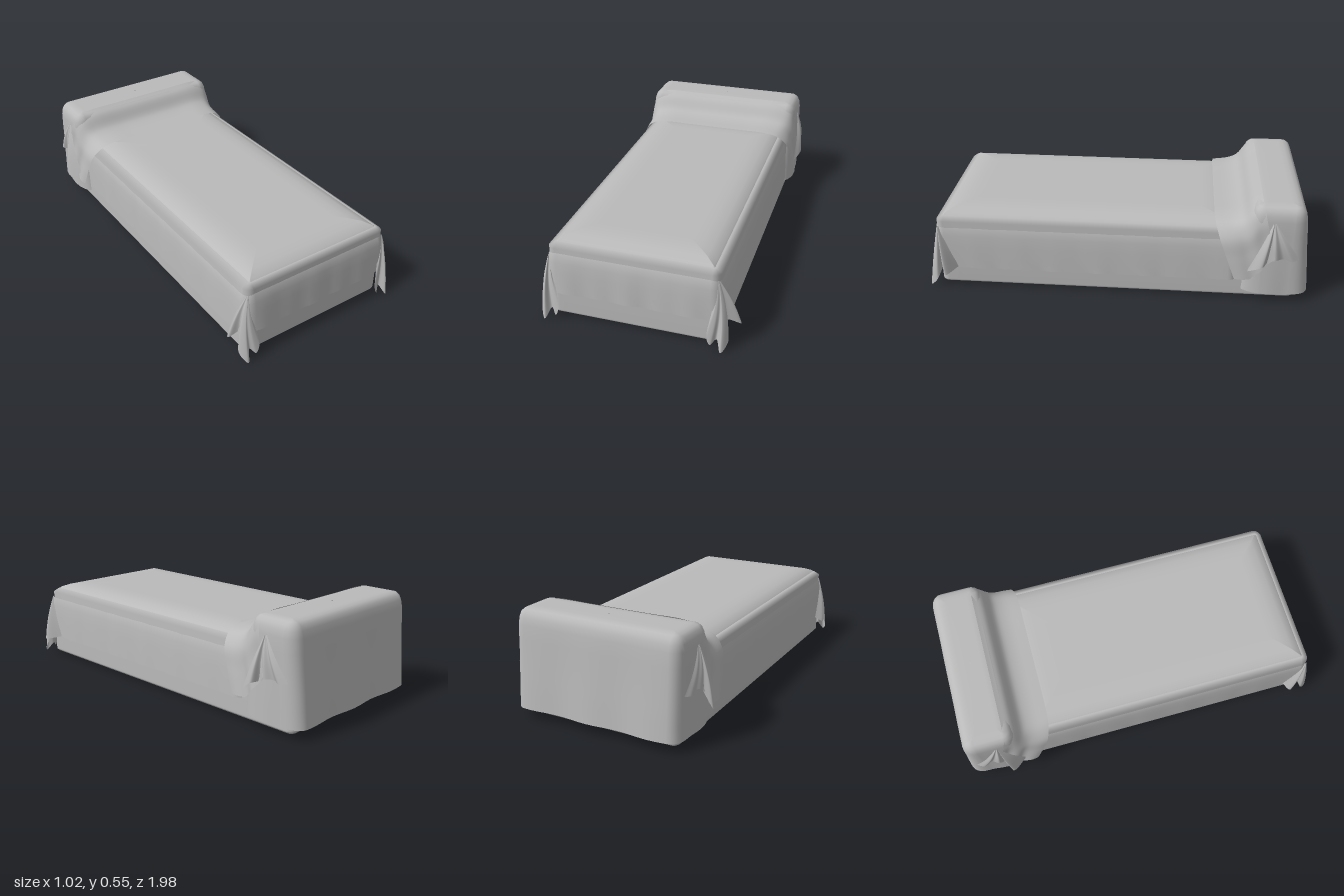
import * as THREE from 'three';

const linen = new THREE.MeshStandardMaterial({ color: 0xbababa, side: THREE.DoubleSide });
linen.name = 'greyLinen';

// Smooth surface from a grid of points; optional wrap joins last column to first
function gridMesh(name, rows, wrap = false) {
  const n = rows[0].length, index = [];
  for (let i = 0; i < rows.length - 1; i++) {
    for (let j = 0; j < (wrap ? n : n - 1); j++) {
      const a = i * n + j, b = i * n + (j + 1) % n;
      index.push(a, b, a + n, b, b + n, a + n);
    }
  }
  const geo = new THREE.BufferGeometry().setFromPoints(rows.flat());
  geo.setIndex(index);
  geo.computeVertexNormals();
  const mesh = new THREE.Mesh(geo, linen);
  mesh.name = name;
  return mesh;
}

// Rounded rectangle in plan, counter-clockwise seen from above, with outward normals
function outline(w, z0, z1, r, inset, steps = 24) {
  const pts = [], rad = Math.max(r - inset, 0.002);
  const hw = Math.max(w - inset, 0.003);
  const mid = (z0 + z1) / 2, hz = Math.max((z1 - z0) / 2 - inset, 0.003);
  const corner = [[1, 1, 0], [1, -1, 1], [-1, -1, 2], [-1, 1, 3]];
  corner.forEach(([sx, sz, k]) => {
    for (let i = 0; i <= 6; i++) {
      const a = Math.PI / 2 * (1 - k) - i / 6 * Math.PI / 2;
      const nx = Math.cos(a), nz = Math.sin(a);
      pts.push({ x: sx * (hw - rad) + nx * rad, z: mid + sz * (hz - rad) + nz * rad, nx, nz });
    }
  });
  const full = [];
  pts.forEach((p, i) => {
    full.push(p);
    if (i % 7 === 6) {
      const q = pts[(i + 1) % pts.length];
      for (let s = 1; s < steps; s++) {
        const t = s / steps;
        full.push({ x: p.x + (q.x - p.x) * t, z: p.z + (q.z - p.z) * t, nx: p.nx, nz: p.nz });
      }
    }
  });
  return full;
}

// Stack of rounded rectangles following a [inset, height] profile from hem to crown
function shell(name, { w, z0, z1, r, profile, warp }) {
  const rows = profile.map(([inset, y]) => outline(w, z0, z1, r, inset).map((p) => {
    const v = new THREE.Vector3(p.x, y, p.z);
    if (warp) warp(v, p);
    return v;
  }));
  return gridMesh(name, rows, true);
}

// Gathered cloth fanning from a point to a wavy hem
function fold(name, apex, hem, side) {
  const flip = ([x, y, z]) => new THREE.Vector3(x * side, y, z);
  const top = flip(apex);
  const bottom = new THREE.CatmullRomCurve3(hem.map(flip), false, 'centripetal').getPoints(56);
  const rows = [];
  for (let i = 0; i <= 10; i++) {
    const t = 0.06 + 0.94 * i / 10;
    rows.push(bottom.map((b) => {
      const p = top.clone().lerp(b, t);
      p.x += side * 0.012 * Math.sin(t * Math.PI);
      return p;
    }));
  }
  return gridMesh(name, rows);
}

// Turned-down sheet sloping up over the pillow with hanging sides
function turnedSheet() {
  const crown = new THREE.CatmullRomCurve3([
    [-0.5, 0.437], [-0.59, 0.446], [-0.64, 0.465], [-0.69, 0.525], [-0.735, 0.55],
  ].map(([z, y]) => new THREE.Vector3(0, y, z)));
  const mix = THREE.MathUtils.lerp;
  const rows = [];
  for (let i = 0; i <= 20; i++) {
    const u = i / 20, c = crown.getPoint(u), H = c.y;
    const hem = u < 0.25 ? 0.15 : mix(0.15, 0.28, (u - 0.25) / 0.75);
    const half = [
      [0.16, H], [mix(0.31, 0.37, u), H - 0.002], [mix(0.39, 0.435, u), H - 0.022],
      [mix(0.445, 0.458, u), H - 0.08], [0.464, mix(H, hem, 0.6)], [0.478, hem],
    ];
    const pts = [...half.map(([x, y]) => [-x, y]).reverse(), [0, H], ...half];
    const arch = new THREE.CatmullRomCurve3(
      pts.map(([x, y]) => new THREE.Vector3(x, y, 0)), false, 'centripetal').getPoints(72);
    rows.push(arch.map((p) => {
      const drop = Math.max(0, (H - p.y) / (H - hem));
      p.x += Math.sign(p.x) * 0.006 * drop * Math.sin(u * 14);
      p.z = c.z - mix(0.11, 0.07, u) * drop;
      return p;
    }));
  }
  return gridMesh('turnedSheet', rows);
}

export function createModel() {
  const group = new THREE.Group();
  group.name = 'bed';

  // Mattress base with a small bevel underneath
  group.add(shell('bedBase', {
    w: 0.42, z0: -0.93, z1: 0.935, r: 0.04,
    profile: [[0.415, 0.01], [0.016, 0.01], [0.015, 0.01], [0.002, 0.02], [0, 0.024],
      [0, 0.03], [0, 0.38], [0.03, 0.4], [0.415, 0.4]],
  }));

  // Blanket with soft ripples increasing toward the hem
  group.add(shell('blanket', {
    w: 0.436, z0: -0.64, z1: 0.955, r: 0.06,
    profile: [[0, 0.115], [0.002, 0.17], [0.005, 0.24], [0.009, 0.3], [0.016, 0.345], [0.032, 0.38],
      [0.06, 0.407], [0.1, 0.424], [0.15, 0.431], [0.2, 0.433], [0.433, 0.433]],
    warp: (v, p) => {
      const drop = THREE.MathUtils.clamp((0.36 - v.y) / 0.25, 0, 1);
      const wave = 0.003 * drop * (Math.sin(v.x * 41 + v.z * 29) + Math.sin(v.z * 53 - v.x * 23));
      v.x += p.nx * wave;
      v.z += p.nz * wave;
      v.y += 0.03 * drop * Math.max(0, p.nz);
    },
  }));

  // Sheet wrapped round the pillow and the head end
  group.add(shell('pillowCover', {
    w: 0.455, z0: -0.955, z1: -0.68, r: 0.06,
    profile: [[-0.004, 0.055], [-0.003, 0.13], [-0.002, 0.22], [0, 0.31], [0, 0.4], [0.001, 0.47],
      [0.006, 0.503], [0.016, 0.526], [0.032, 0.54], [0.055, 0.546], [0.08, 0.547], [0.45, 0.547]],
    warp: (v, p) => {
      const drop = THREE.MathUtils.clamp((0.5 - v.y) / 0.44, 0, 1);
      v.z += p.nz * drop * (0.03 + 0.006 * Math.sin(v.x * 19 + 1));
      v.x += p.nx * drop * 0.004 * Math.sin(v.z * 30);
    },
  }));

  group.add(turnedSheet());

  for (const side of [1, -1]) {
    const label = side > 0 ? 'left' : 'right';
    // Gathered corners at the foot
    const flare = side > 0 ? [0.51, 0.11, 0.885] : [0.475, 0.09, 0.87];
    group.add(fold(label + 'FootFold', [0.408, 0.365, 0.928], [
      [0.432, 0.12, 0.83], flare, [0.435, 0.13, 0.905], [0.465, 0.05, 0.945],
      [0.437, 0.002, 0.99], [0.41, 0.05, 0.955], [0.385, 0.025, 0.975],
      [0.368, 0.06, 0.975], [0.385, 0.2, 0.948],
    ], side));
    // Pleats on the sides of the pillow
    const tip = side > 0 ? [0.502, 0.24, -0.745] : [0.515, 0.15, -0.755];
    group.add(fold(label + 'HeadFold', [0.452, 0.48, -0.79], [
      [0.468, 0.19, -0.67], tip, [0.464, 0.25, -0.775], [0.482, 0.27, -0.81],
      [0.462, 0.27, -0.85], [0.478, 0.265, -0.89], [0.458, 0.27, -0.93],
    ], side));
  }
  return group;
}
